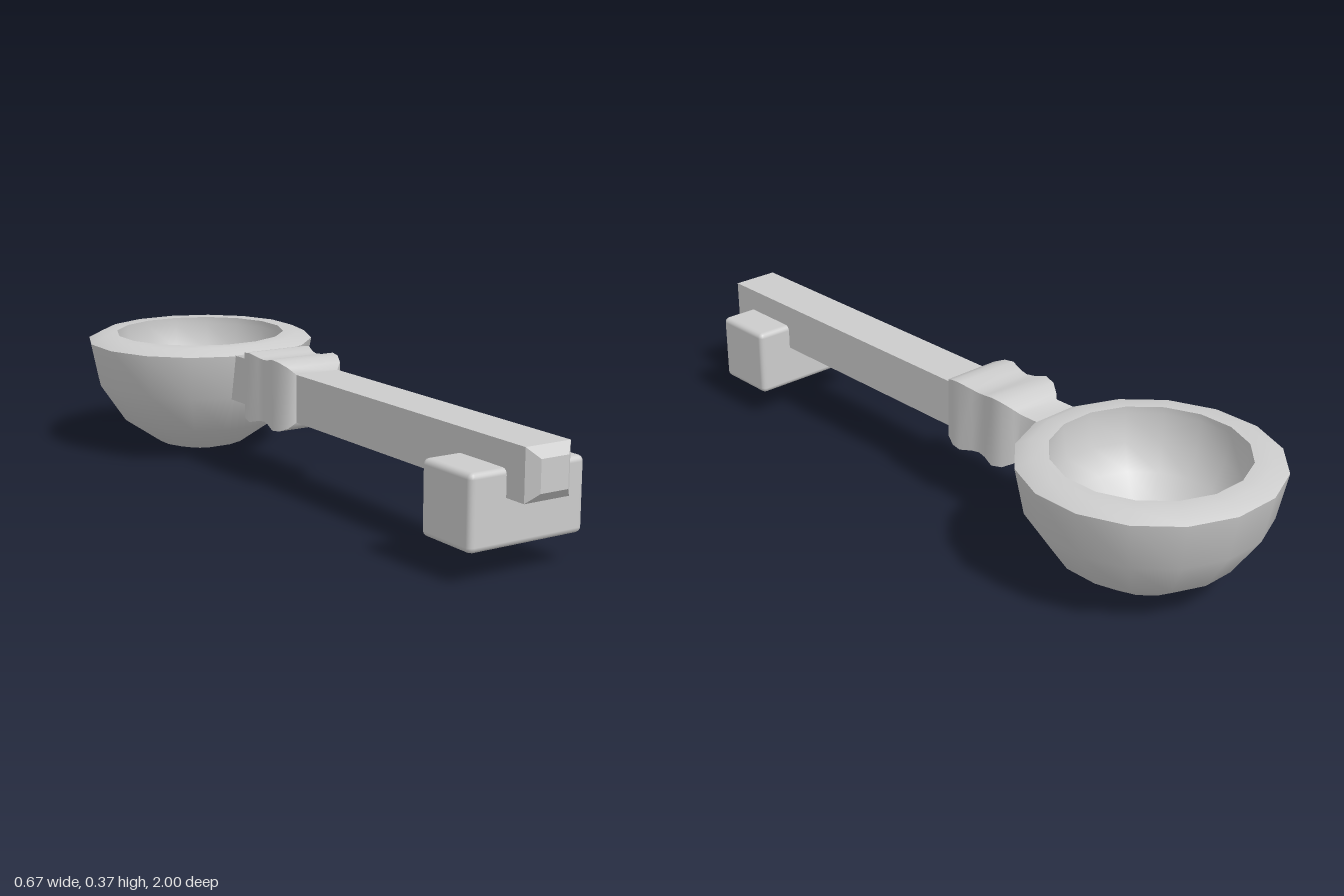
import * as THREE from 'three';
import { RoundedBoxGeometry } from 'three/addons/geometries/RoundedBoxGeometry.js';
import { toCreasedNormals } from 'three/addons/utils/BufferGeometryUtils.js';

const grey = new THREE.MeshStandardMaterial({ color: 0xcccccc });

// Regular prism-like solid around y: profile holds [distance to flat side, height]
function facetedLathe(profile, sides, crease) {
  const k = 1 / Math.cos(Math.PI / sides);
  const points = profile.map(([r, y]) => new THREE.Vector2(r * k, y));
  const geometry = new THREE.LatheGeometry(points, sides, Math.PI / sides);
  return toCreasedNormals(geometry, crease);
}

function addPart(group, name, geometry, x, y, z) {
  const mesh = new THREE.Mesh(geometry, grey);
  mesh.name = name;
  mesh.position.set(x, y, z);
  group.add(mesh);
  return mesh;
}

export function createModel() {
  const group = new THREE.Group();
  group.name = 'scoop';

  // Bowl: outer shell, bevelled rim, then the hollow
  const outer = [[0, 0], [0.07, 0.002], [0.13, 0.019], [0.237, 0.094], [0.31, 0.206], [0.335, 0.335]];
  const rim = [[0.294, 0.355], [0.25, 0.355]];
  const hollow = [];
  for (let i = 0; i <= 5; i++) {
    const a = (i / 5) * Math.PI / 2;
    hollow.push([i === 5 ? 0 : 0.25 * Math.cos(a), 0.335 - 0.25 * Math.sin(a)]);
  }
  addPart(group, 'bowl', facetedLathe([...outer, ...rim, ...hollow], 16, 0.75), 0, 0, -0.665);

  // Square handle with a chamfered tip
  const bar = [[0, -0.02], [0.067, -0.02], [0.067, 0.974], [0.041, 1], [0, 1]];
  addPart(group, 'handle', facetedLathe(bar, 4, 0.5).rotateX(Math.PI / 2), 0, 0.27, 0);

  // Double-bulged grip and the neck that joins the bowl
  const grip = [
    [0, -0.37], [0.067, -0.37], [0.067, -0.275], [0.078, -0.262], [0.094, -0.235], [0.1, -0.2],
    [0.091, -0.165], [0.088, -0.14], [0.091, -0.115], [0.1, -0.075], [0.097, -0.045],
    [0.085, -0.015], [0.067, 0], [0, 0],
  ];
  addPart(group, 'grip', facetedLathe(grip, 4, 0.75).rotateX(Math.PI / 2), 0, 0.27, 0);

  // Cross block under the end of the handle
  addPart(group, 'crossBlock', new RoundedBoxGeometry(0.342, 0.192, 0.19, 2, 0.015), 0, 0.177, 0.815);

  return group;
}
